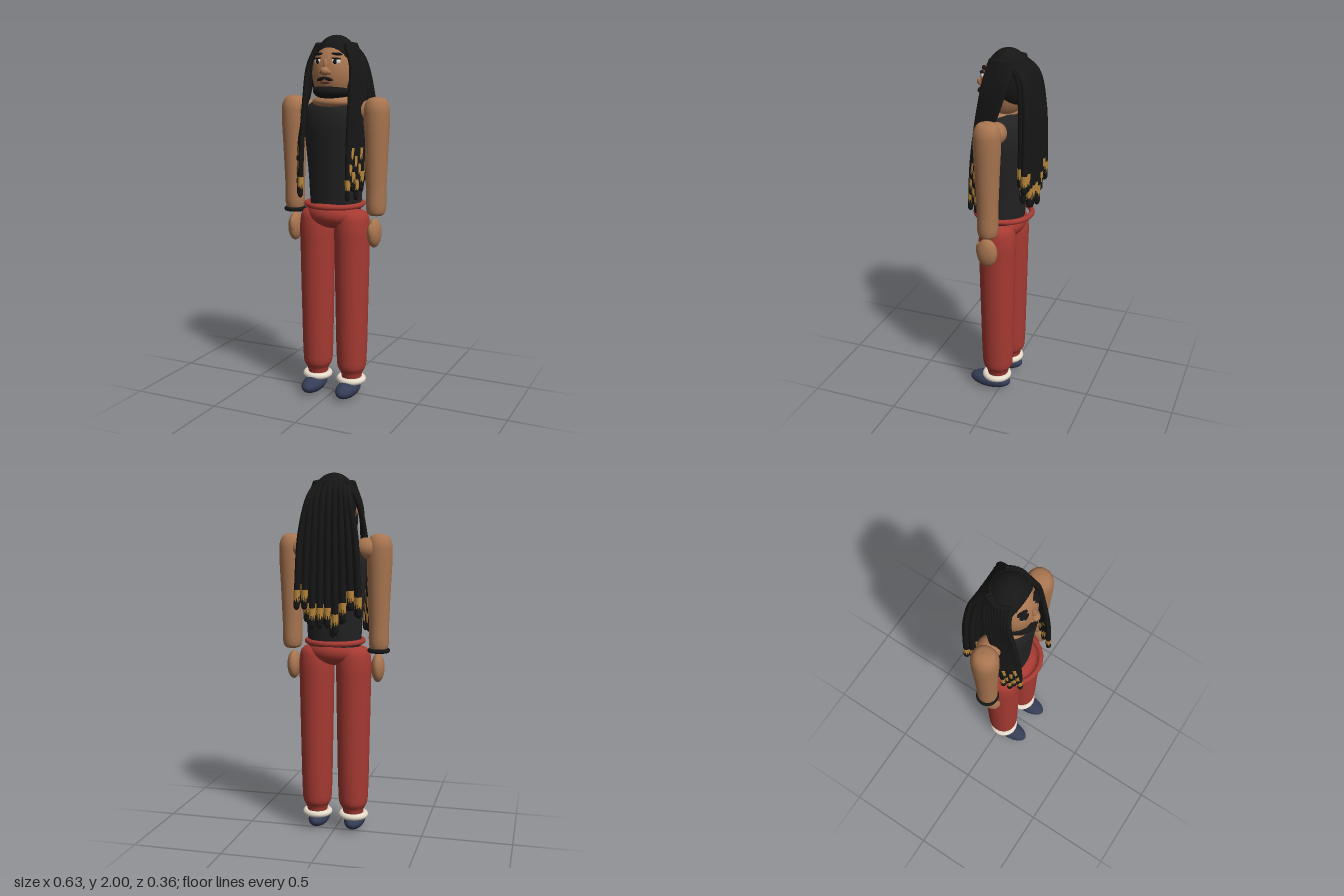
import * as THREE from 'three';

const mat = (name, color) => Object.assign(new THREE.MeshStandardMaterial({ color }), { name });

export function createModel() {
  const root = new THREE.Group();
  root.name = 'standingMan';
  const skin = mat('skin', 0xa87550), hair = mat('hair', 0x161616), tank = mat('tankTop', 0x222222);
  const red = mat('redTrousers', 0xa63a32), cream = mat('creamCuff', 0xe6dccb), navy = mat('navyShoe', 0x353d56);
  const gold = mat('goldBead', 0xb8863a), white = mat('eyeWhite', 0xf2eee6), lip = mat('lip', 0x6e3f30);

  const add = (name, geo, material, pos = [0, 0, 0], scale = [1, 1, 1], rot = [0, 0, 0], parent = root) => {
    const m = new THREE.Mesh(geo, material);
    m.name = name;
    m.position.set(...pos);
    m.scale.set(...scale);
    m.rotation.set(...rot);
    parent.add(m);
    return m;
  };
  const sphere = new THREE.SphereGeometry(1, 32, 20);
  const small = new THREE.SphereGeometry(1, 14, 10);
  const blob = (name, material, pos, r, rot) => add(name, sphere, material, pos, r, rot);
  const ring = (name, material, pos, radius, tube) =>
    add(name, new THREE.TorusGeometry(radius, tube, 12, 40), material, pos, [1, 1, 1], [Math.PI / 2, 0, 0]);
  // Smooth lathe from a few [radius, y] points
  const lathe = (pts) => {
    const curve = new THREE.CatmullRomCurve3(pts.map(([r, y]) => new THREE.Vector3(r, y, 0)));
    const profile = curve.getPoints(36).map((p) => new THREE.Vector2(Math.max(p.x, 0), p.y));
    return new THREE.LatheGeometry(profile, 32);
  };

  // Torso, waistband and hips
  add('tankTop', lathe([[0.145, 1.07], [0.15, 1.12], [0.158, 1.25], [0.174, 1.42], [0.185, 1.54],
    [0.165, 1.62], [0.1, 1.66], [0, 1.67]]), tank, [0, 0, -0.002], [1, 1, 0.65]);
  ring('waistband', red, [0, 1.095, 0.012], 0.153, 0.015);
  blob('hips', red, [0, 1.04, 0.015], [0.157, 0.082, 0.122]);

  // Neck and open collar
  add('neck', new THREE.CylinderGeometry(0.06, 0.068, 0.14, 24), skin, [0, 1.68, 0]);
  blob('collarSkin', skin, [0, 1.65, 0.035], [0.115, 0.04, 0.085]);

  // Limbs
  const leg = lathe([[0.055, 0.11], [0.062, 0.14], [0.078, 0.17], [0.084, 0.24], [0.09, 0.5],
    [0.096, 0.85], [0.097, 0.98], [0.08, 1.05], [0, 1.08]]);
  const arm = lathe([[0, 1.045], [0.035, 1.048], [0.05, 1.065], [0.055, 1.2], [0.063, 1.4],
    [0.07, 1.57], [0.066, 1.63], [0.045, 1.668], [0, 1.68]]);
  for (const s of [-1, 1]) {
    const side = s > 0 ? 'left' : 'right';
    add(side + 'Leg', leg, red, [s * 0.105, 0, 0.012], [1, 1, 1.05]);
    ring(side + 'Cuff', cream, [s * 0.105, 0.098, 0.018], 0.066, 0.018);
    blob(side + 'Shoe', navy, [s * 0.105, 0.053, 0.059], [0.057, 0.048, 0.122]);
    add(side + 'Arm', arm, skin, [s * 0.245, 0, 0.012], [1, 1, 1.03]);
    blob(side + 'Shoulder', skin, [s * 0.18, 1.6, -0.005], [0.07, 0.06, 0.062]);
    blob(side + 'Hand', skin, [s * 0.24, 0.95, 0.02], [0.036, 0.08, 0.058]);
    blob(side + 'Thumb', skin, [s * 0.236, 0.965, 0.066], [0.017, 0.04, 0.018]);
  }
  ring('bracelet', hair, [-0.245, 1.048, 0.012], 0.05, 0.012);

  // Head and face
  blob('head', skin, [0, 1.8, 0.015], [0.12, 0.165, 0.12]);
  blob('hairCap', hair, [0, 1.84, -0.012], [0.126, 0.16, 0.12]);
  blob('nose', skin, [0, 1.812, 0.136], [0.025, 0.022, 0.025]);
  blob('noseBridge', skin, [0, 1.842, 0.128], [0.013, 0.035, 0.014]);
  blob('beard', hair, [0, 1.705, 0.042], [0.104, 0.047, 0.102]);
  blob('lips', lip, [0, 1.755, 0.13], [0.03, 0.009, 0.012]);
  for (const s of [-1, 1]) {
    blob('eye', white, [s * 0.052, 1.862, 0.107], [0.024, 0.018, 0.012], [0, s * 0.35, 0]);
    blob('pupil', hair, [s * 0.051, 1.861, 0.116], [0.011, 0.013, 0.006], [0, s * 0.35, 0]);
    blob('upperLid', hair, [s * 0.054, 1.877, 0.11], [0.026, 0.005, 0.013], [0, s * 0.35, -s * 0.08]);
    blob('eyebrow', hair, [s * 0.054, 1.9, 0.099], [0.029, 0.008, 0.012], [0, s * 0.4, -s * 0.1]);
    blob('nostril', skin, [s * 0.02, 1.806, 0.13], [0.014, 0.012, 0.014]);
    blob('moustache', hair, [s * 0.021, 1.772, 0.136], [0.026, 0.009, 0.013], [0, s * 0.25, -s * 0.3]);
    blob('sideburn', hair, [s * 0.1, 1.755, 0.025], [0.022, 0.06, 0.04]);
    blob('ear', skin, [s * 0.12, 1.81, 0], [0.016, 0.035, 0.024]);
  }

  // Long locs: tube, rounded ends and a gold bead near the tip
  const locs = new THREE.Group();
  locs.name = 'locs';
  root.add(locs);
  const bead = new THREE.CylinderGeometry(0.017, 0.015, 0.065, 12);
  const loc = (points, r) => {
    const curve = new THREE.CatmullRomCurve3(points.map((p) => new THREE.Vector3(...p)));
    add('loc', new THREE.TubeGeometry(curve, 24, r, 10), hair, undefined, undefined, undefined, locs);
    const first = points[0], last = points[points.length - 1];
    add('locRoot', small, hair, first, [r, r, r], undefined, locs);
    add('locTip', small, hair, last, [r, r * 1.6, r], undefined, locs);
    const t = 0.93;
    const b = add('locBead', bead, gold, curve.getPointAt(t).toArray(), [r / 0.0155, 1, r / 0.0155], undefined, locs);
    b.quaternion.setFromUnitVectors(new THREE.Vector3(0, -1, 0), curve.getTangentAt(t));
  };

  // Back curtain in two staggered rows
  for (const [count, depth, half, r] of [[9, -0.161, 0.17, 0.0175], [8, -0.135, 0.155, 0.017]]) {
    for (let i = 0; i < count; i++) {
      const u = (i / (count - 1)) * 2 - 1;
      const a = u * 1.15;
      const tip = 1.14 + 0.13 * Math.abs(u) + 0.07 * ((i * 2) % 3) / 2;
      loc([[Math.sin(a) * 0.085, 1.945, -0.015 - Math.cos(a) * 0.07],
        [Math.sin(a) * 0.118, 1.87, depth * 0.78],
        [u * half * 0.86, 1.68, depth * 0.97],
        [u * half * 0.97, 1.4, depth],
        [u * half, tip, depth]], r);
    }
  }
  // Side locs, sweeping forward over each shoulder
  const n = 9;
  for (const s of [-1, 1]) {
    for (let i = 0; i < n; i++) {
      const v = i / (n - 1);
      const tip = 1.16 + 0.045 * ((i * 2) % 5);
      const zEnd = 0.152 - 0.075 * v;
      loc([[s * (0.083 + 0.02 * Math.sin(v * Math.PI)), 1.945, 0.05 - 0.12 * v],
        [s * (0.125 + 0.015 * v), 1.84, 0.07 - 0.12 * v],
        [s * (0.133 + 0.035 * v), 1.66, 0.105 - 0.1 * v],
        [s * (0.137 + 0.048 * v), 1.42, 0.138 - 0.075 * v],
        [s * (0.14 + 0.045 * v), tip, zEnd]], 0.0145);
    }
  }
  return root;
}
